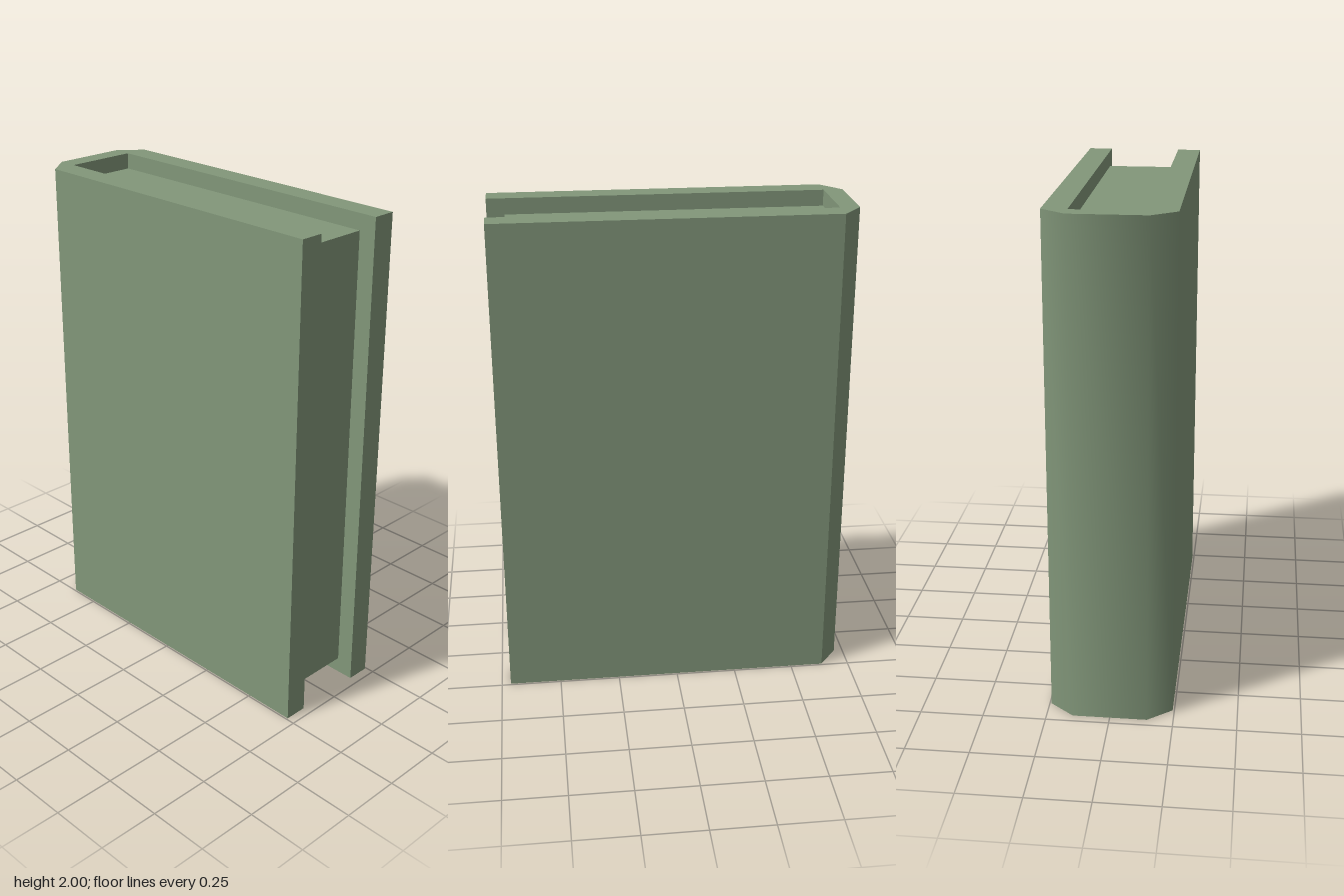
import * as THREE from 'three';
import { toCreasedNormals } from 'three/addons/utils/BufferGeometryUtils.js';

const HEIGHT = 2;
const HALF_WIDTH = 0.713;
const HALF_DEPTH = 0.243; // outside of the boards
const INNER_DEPTH = 0.147; // inside of the boards
const SPINE_INNER = -0.636;
const PAGE_EDGE = 0.642;
const PAGE_INSET = 0.065; // pages sit below the cover's top and above its bottom

export function createModel() {
  const book = new THREE.Group();
  book.name = 'book';
  const material = new THREE.MeshStandardMaterial({ color: 0x82977a });

  // Cover: one U-shaped section with a bevelled spine, extruded upwards
  const section = new THREE.Shape([
    [HALF_WIDTH, -HALF_DEPTH], [HALF_WIDTH, -INNER_DEPTH],
    [SPINE_INNER, -INNER_DEPTH], [SPINE_INNER, INNER_DEPTH],
    [HALF_WIDTH, INNER_DEPTH], [HALF_WIDTH, HALF_DEPTH],
    [SPINE_INNER, HALF_DEPTH], [-HALF_WIDTH, INNER_DEPTH],
    [-HALF_WIDTH, -INNER_DEPTH], [SPINE_INNER, -HALF_DEPTH],
  ].map(([x, z]) => new THREE.Vector2(x, z)));
  const coverGeometry = new THREE.ExtrudeGeometry(section, { depth: HEIGHT, bevelEnabled: false });
  coverGeometry.rotateX(-Math.PI / 2);
  // The spine shades smoothly across its bevels; the boards stay crisp
  const cover = new THREE.Mesh(toCreasedNormals(coverGeometry, 0.78), material);
  cover.name = 'cover';
  book.add(cover);

  // Page block between the boards
  const pages = new THREE.Mesh(
    new THREE.BoxGeometry(PAGE_EDGE - SPINE_INNER, HEIGHT - 2 * PAGE_INSET, 2 * INNER_DEPTH),
    material,
  );
  pages.name = 'pages';
  pages.position.set((PAGE_EDGE + SPINE_INNER) / 2, HEIGHT / 2, 0);
  book.add(pages);

  return book;
}
